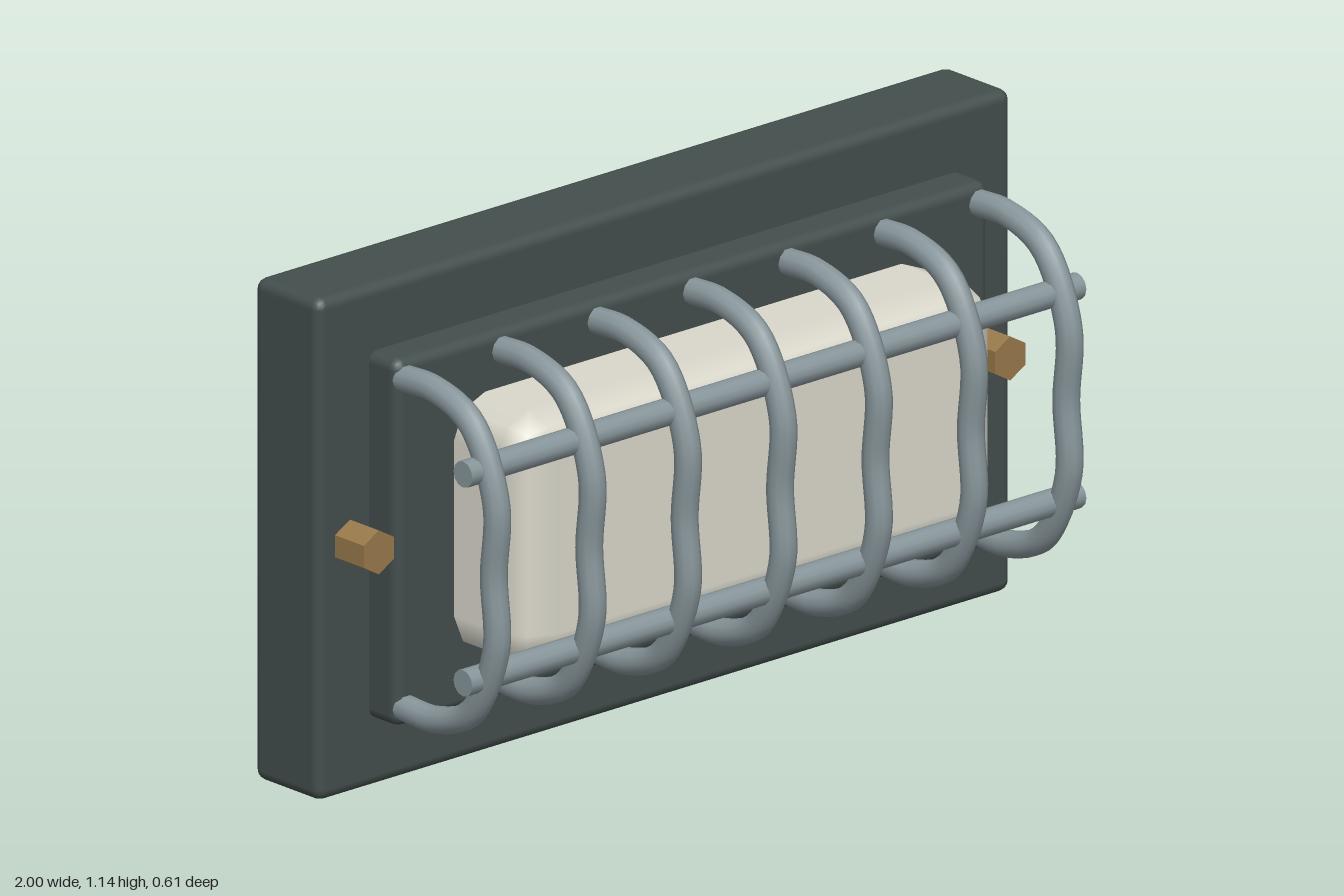
import * as THREE from 'three';
import { RoundedBoxGeometry } from 'three/addons/geometries/RoundedBoxGeometry.js';

const material = (name, color, flatShading = false) => {
  const m = new THREE.MeshStandardMaterial({ color, flatShading });
  m.name = name;
  return m;
};

export function createModel() {
  const group = new THREE.Group();
  const housing = material('dark housing', 0x434e4d);
  const glass = material('cream glass', 0xdad8cb);
  const steel = material('grey steel', 0x87959a);
  const brass = material('brass', 0x98794a, true);
  const midY = 0.572;

  const add = (name, geometry, mat, x, y, z) => {
    const mesh = new THREE.Mesh(geometry, mat);
    mesh.name = name;
    mesh.position.set(x, y, z);
    group.add(mesh);
    return mesh;
  };

  // Housing: deep back box and a raised mounting plate
  add('backBox', new RoundedBoxGeometry(2, 1.14, 0.21, 2, 0.025), housing, 0, 0.57, -0.2);
  add('mountingPlate', new RoundedBoxGeometry(1.71, 0.834, 0.14, 2, 0.025), housing, 0, midY + 0.002, -0.077);

  // Glass diffuser with softened edges, sunk into the plate
  add('diffuser', new RoundedBoxGeometry(1.38, 0.578, 0.32, 1, 0.09), glass, 0, midY + 0.002, 0.063);

  // Cage hoops: one bent rod repeated along the width
  const half = [[-0.02, 0.374], [0.09, 0.374], [0.2, 0.327], [0.277, 0.165]];
  const points = [
    ...half.map(([z, y]) => new THREE.Vector3(0, y, z)),
    new THREE.Vector3(0, 0, 0.269),
    ...half.slice().reverse().map(([z, y]) => new THREE.Vector3(0, -y, z)),
  ];
  const hoop = new THREE.TubeGeometry(new THREE.CatmullRomCurve3(points), 48, 0.03, 10);
  for (let i = -3; i <= 3; i++) add('cageHoop', hoop, steel, i * 0.275, midY, 0);

  // Horizontal cage bars
  const bar = new THREE.CylinderGeometry(0.03, 0.03, 1.77, 12).rotateZ(Math.PI / 2);
  for (const side of [-1, 1]) add('cageBar', bar, steel, 0, midY + side * 0.237, 0.237);

  // Hexagonal fixing bolts
  const bolt = new THREE.CylinderGeometry(0.05, 0.05, 0.11, 6).rotateX(Math.PI / 2);
  for (const side of [-1, 1]) add('bolt', bolt, brass, side * 0.91, midY + 0.002, -0.058);

  return group;
}
